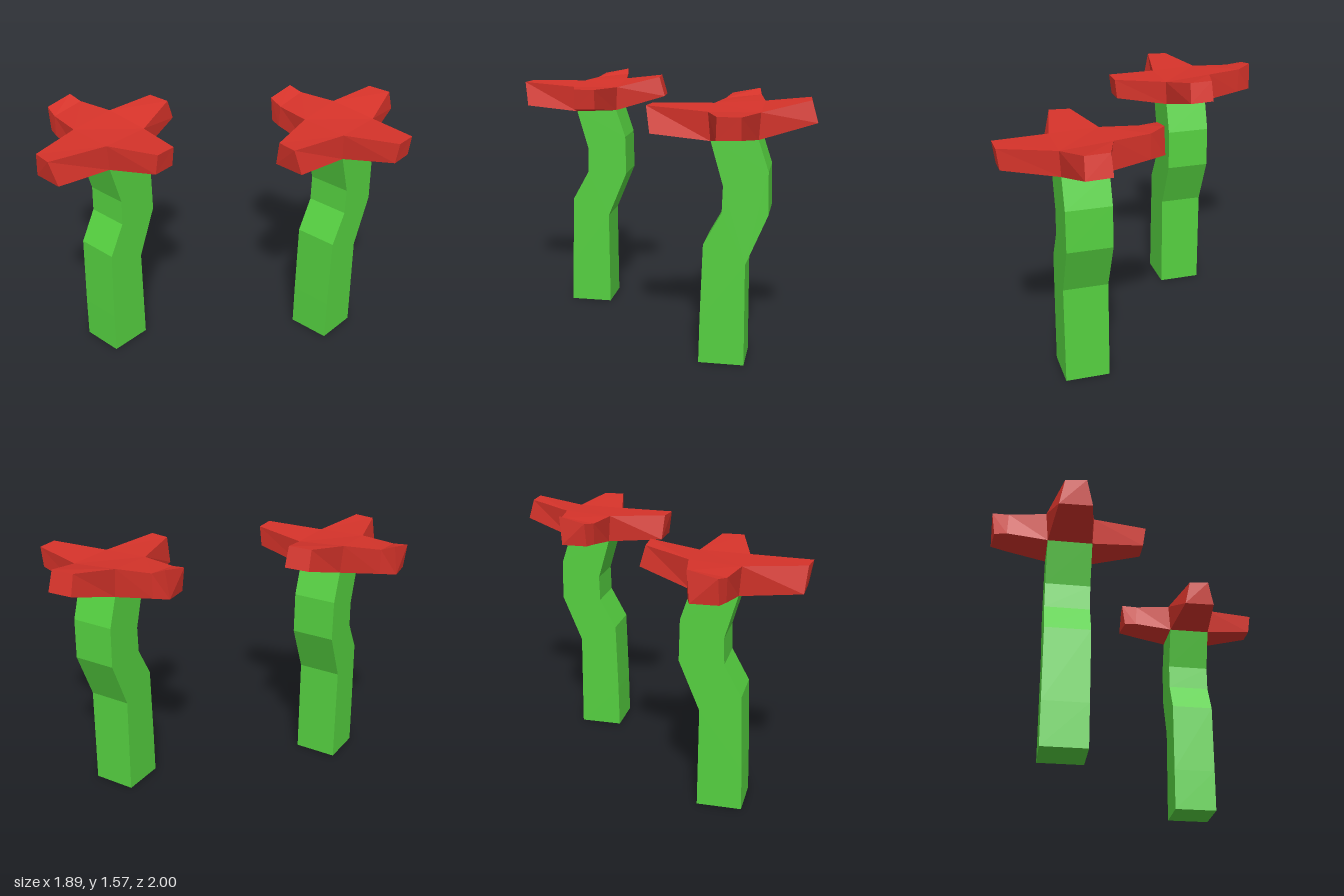
import * as THREE from 'three';

const green = new THREE.MeshStandardMaterial({ color: 0x55d040, flatShading: true });
const red = new THREE.MeshStandardMaterial({ color: 0xd6332a, flatShading: true });

// Wavy square stem: side outline (z, y) swept across x
function makeStem() {
  const outline = [
    [0.67, 0], [0.665, 0.27], [0.65, 0.73], [0.545, 0.92], [0.54, 1.08], [0.615, 1.34],
    [0.345, 1.35], [0.285, 1.17], [0.28, 0.92], [0.405, 0.62], [0.4, 0],
  ];
  const shape = new THREE.Shape(outline.map(([z, y]) => new THREE.Vector2(-z, y)));
  const geo = new THREE.ExtrudeGeometry(shape, { depth: 0.27, bevelEnabled: false });
  geo.rotateY(Math.PI / 2).translate(-0.605, 0, 0);
  const mesh = new THREE.Mesh(geo, green);
  mesh.name = 'stem';
  return mesh;
}

// Four-petalled head: a core block with a lofted petal on each side
function makeHead() {
  const pos = [];
  const quad = (a, b, c, d) => pos.push(...a, ...b, ...c, ...a, ...c, ...d);

  // Core corners: front-left, front-right, back-right, back-left as seen from +z
  const top = [[-0.62, 1.51, 0.63], [-0.33, 1.5, 0.63], [-0.325, 1.505, 0.335], [-0.625, 1.53, 0.335]];
  const bottom = [[-0.605, 1.335, 0.615], [-0.335, 1.335, 0.615], [-0.335, 1.35, 0.345], [-0.605, 1.35, 0.345]];
  quad(...top);
  quad(...[...bottom].reverse());

  // Petal sections run bottom A, bottom B, top B, top A, counter-clockwise from outside
  const petals = [
    [[[-0.565, 1.36, 0.965], [-0.37, 1.36, 0.97], [-0.41, 1.515, 0.997], [-0.535, 1.515, 0.98]]],   // front
    [[[-0.015, 1.395, 0.545], [-0.015, 1.4, 0.41], [0, 1.525, 0.41], [0.003, 1.525, 0.54]]],        // right
    [[[-0.39, 1.445, 0.025], [-0.545, 1.445, 0.035], [-0.54, 1.57, 0.07], [-0.395, 1.57, 0.062]]],  // back
    [ // left, with a curled tip
      [[-0.85, 1.38, 0.38], [-0.85, 1.375, 0.59], [-0.845, 1.51, 0.59], [-0.85, 1.535, 0.375]],
      [[-0.945, 1.385, 0.41], [-0.925, 1.38, 0.565], [-0.945, 1.53, 0.56], [-0.93, 1.565, 0.39]],
    ],
  ];
  petals.forEach((sections, k) => {
    const n = (k + 1) % 4;
    let inner = [bottom[k], bottom[n], top[n], top[k]];
    for (const outer of sections) {
      for (let i = 0; i < 4; i++) {
        const j = (i + 1) % 4;
        quad(inner[i], inner[j], outer[j], outer[i]);
      }
      inner = outer;
    }
    quad(...inner);
  });

  const geo = new THREE.BufferGeometry();
  geo.setAttribute('position', new THREE.Float32BufferAttribute(pos, 3));
  geo.computeVertexNormals();
  const mesh = new THREE.Mesh(geo, red);
  mesh.name = 'flowerHead';
  return mesh;
}

export function createModel() {
  const model = new THREE.Group();
  model.name = 'flowers';
  const front = new THREE.Group();
  front.name = 'frontFlower';
  front.add(makeStem(), makeHead());
  // Second identical flower, set diagonally behind
  const back = front.clone();
  back.name = 'backFlower';
  back.position.set(0.94, 0, -1.03);
  model.add(front, back);
  return model;
}
